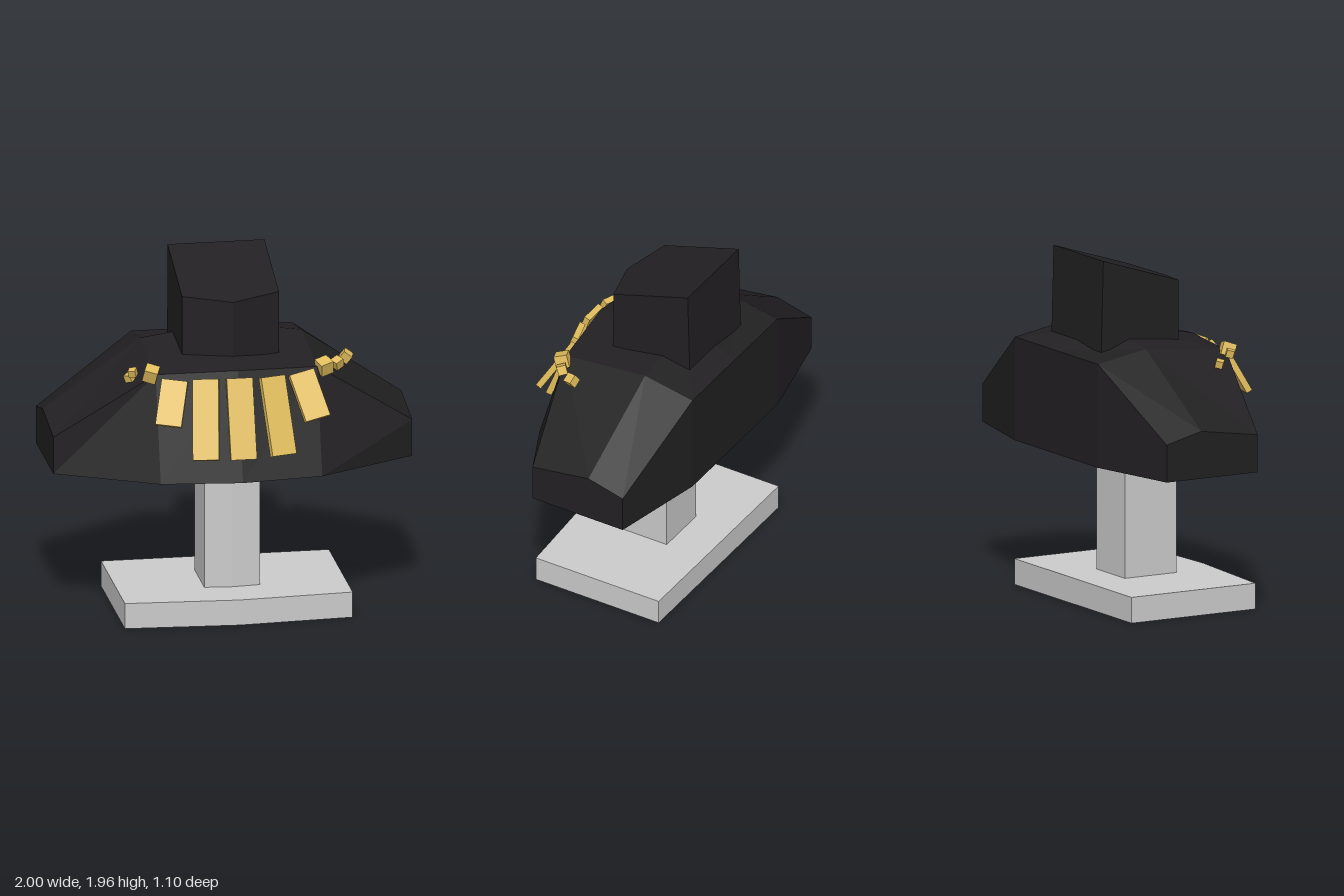
import * as THREE from 'three';

const material = (color) => new THREE.MeshStandardMaterial({ color, flatShading: true });

function addMesh(parent, name, geometry, mat) {
  const mesh = new THREE.Mesh(geometry, mat);
  mesh.name = name;
  parent.add(mesh);
  return mesh;
}

// Upright block with a shallow pointed front
function pointedPrism(halfWidth, back, sideFront, midFront, y0, y1) {
  const plan = [[-halfWidth, sideFront], [0, midFront], [halfWidth, sideFront], [halfWidth, back], [-halfWidth, back]];
  const shape = new THREE.Shape(plan.map(([x, z]) => new THREE.Vector2(x, -z)));
  return new THREE.ExtrudeGeometry(shape, { depth: y1 - y0, bevelEnabled: false })
    .rotateX(-Math.PI / 2)
    .translate(0, y0, 0);
}

// Skin over cross-sections along x; each is { x, profile: [z, y] } from front bottom over the top to back bottom
function loft(sections) {
  const positions = [];
  const n = sections[0].profile.length;
  const put = (s, j) => {
    const [z, y] = s.profile[j % n];
    positions.push(s.x, y, z);
  };
  for (let i = 0; i < sections.length - 1; i++) {
    const a = sections[i], b = sections[i + 1];
    for (let j = 0; j < n; j++) {
      put(a, j); put(b, j); put(b, j + 1);
      put(a, j); put(b, j + 1); put(a, j + 1);
    }
  }
  const first = sections[0], last = sections[sections.length - 1];
  for (let j = 1; j < n - 1; j++) {
    put(first, 0); put(first, j); put(first, j + 1);
    put(last, 0); put(last, j + 1); put(last, j);
  }
  const geometry = new THREE.BufferGeometry();
  geometry.setAttribute('position', new THREE.Float32BufferAttribute(positions, 3));
  geometry.computeVertexNormals();
  return geometry;
}

export function createModel() {
  const model = new THREE.Group();
  model.name = 'necklaceDisplay';
  const grey = material(0xcccccc);
  const black = material(0x222022);
  const gold = material(0xe0bc5c);

  // Stand
  addMesh(model, 'base', pointedPrism(0.635, -0.45, 0.34, 0.38, 0, 0.145), grey);
  addMesh(model, 'post', pointedPrism(0.155, -0.21, 0.12, 0.135, 0.145, 0.86), grey);

  // Shoulders
  const end = [[0.14, 0.85], [0.14, 1.06], [-0.22, 1.115], [-0.44, 1.06], [-0.44, 0.85]];
  const shoulder = [[0.43, 0.85], [0.26, 1.43], [-0.25, 1.485], [-0.555, 1.43], [-0.555, 0.85]];
  const middle = [[0.48, 0.85], [0.31, 1.445], [-0.25, 1.55], [-0.555, 1.43], [-0.555, 0.85]];
  addMesh(model, 'shoulders', loft([
    { x: -1, profile: end },
    { x: -0.45, profile: shoulder },
    { x: 0, profile: middle },
    { x: 0.45, profile: shoulder },
    { x: 1, profile: end },
  ]), black);

  // Neck with a sloping top
  const neck = pointedPrism(0.27, -0.43, 0.065, 0.145, 1.4, 1.8);
  const p = neck.attributes.position;
  for (let i = 0; i < p.count; i++) {
    if (p.getY(i) < 1.6) continue;
    const z = p.getZ(i) * 0.965;
    p.setZ(i, z);
    p.setY(i, 1.83 - 0.32 * z);
  }
  neck.computeVertexNormals();
  addMesh(model, 'neck', neck, black);

  // Necklace bars: top centre, bottom centre, direction across
  const necklace = new THREE.Group();
  necklace.name = 'necklace';
  model.add(necklace);
  const bars = [
    [[-0.35, 1.405, 0.305], [-0.405, 1.18, 0.42], [0.13, -0.015, 0.045]],
    [[-0.182, 1.41, 0.33], [-0.21, 1.0, 0.51], [0.135, 0, 0.045]],
    [[0, 1.415, 0.352], [0, 0.99, 0.5], [0.145, 0, 0]],
    [[0.185, 1.41, 0.335], [0.225, 1.0, 0.485], [0.14, 0, -0.04]],
    [[0.355, 1.41, 0.29], [0.425, 1.18, 0.425], [0.14, 0.025, -0.03]],
  ];
  for (const [top, bottom, across] of bars) {
    const a = new THREE.Vector3(...top), b = new THREE.Vector3(...bottom);
    const up = a.clone().sub(b);
    const length = up.length();
    up.normalize();
    const front = new THREE.Vector3(...across).cross(up).normalize();
    const side = up.clone().cross(front);
    const bar = addMesh(necklace, 'bar', new THREE.BoxGeometry(0.145, length, 0.035), gold);
    bar.quaternion.setFromRotationMatrix(new THREE.Matrix4().makeBasis(side, up, front));
    bar.position.copy(a).add(b).multiplyScalar(0.5);
  }

  // Necklace beads: centre, size, rotation
  const beads = [
    [[-0.475, 1.435, 0.255], 0.075, [0.35, -0.35, -0.15]],
    [[-0.57, 1.435, 0.215], 0.042, [0.3, -0.4, 0.25]],
    [[-0.578, 1.385, 0.145], 0.042, [0.3, -0.6, 0.4]],
    [[0.49, 1.43, 0.255], 0.075, [0.3, 0.4, 0.1]],
    [[0.57, 1.43, 0.21], 0.052, [0.3, 0.6, 0.2]],
    [[0.635, 1.435, 0.11], 0.055, [0.15, -0.25, -0.6]],
  ];
  for (const [centre, size, rotation] of beads) {
    const bead = addMesh(necklace, 'bead', new THREE.BoxGeometry(size, size, size), gold);
    bead.position.set(...centre);
    bead.rotation.set(...rotation);
  }
  return model;
}
